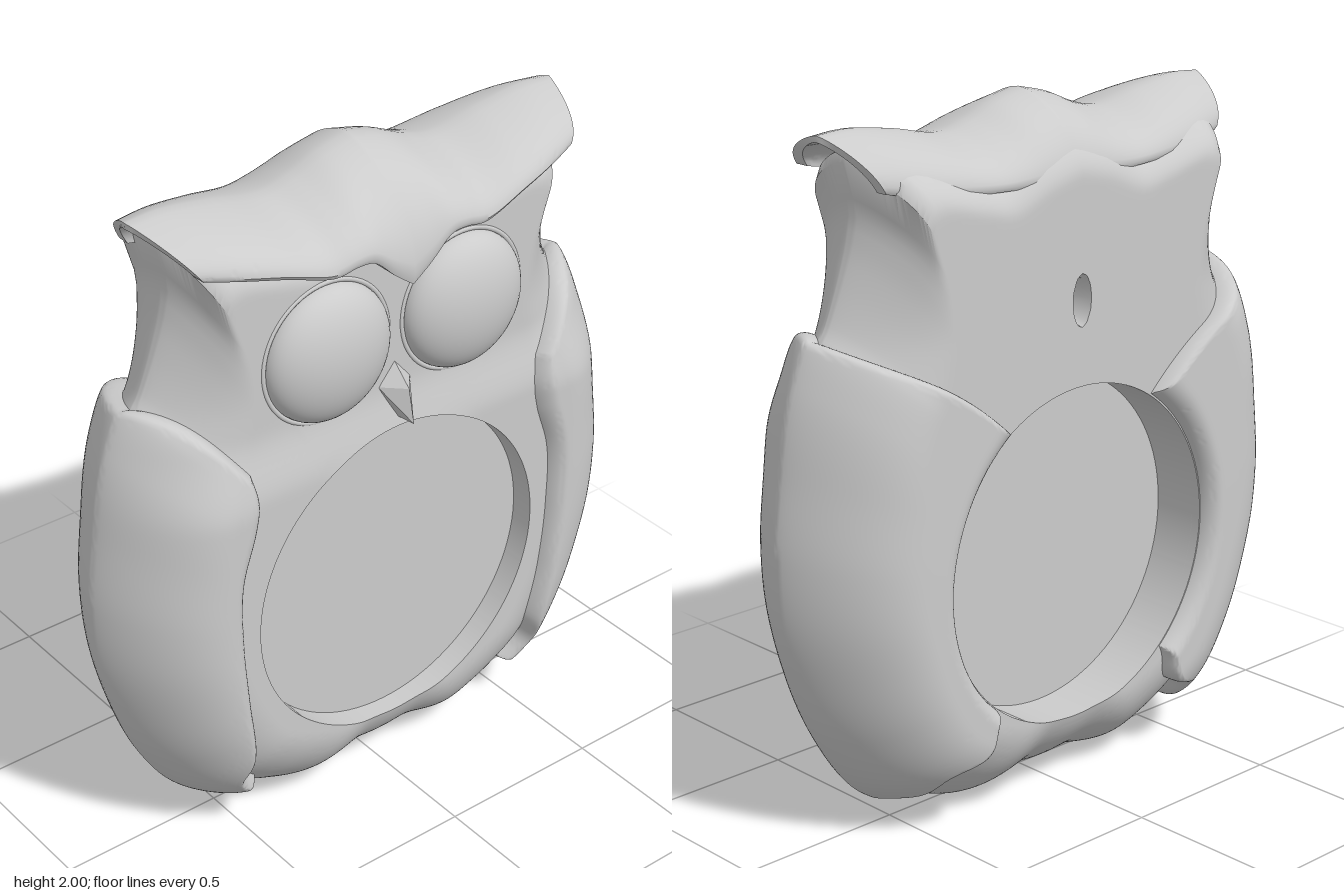
import * as THREE from 'three';
import { toCreasedNormals } from 'three/addons/utils/BufferGeometryUtils.js';
import { ConvexGeometry } from 'three/addons/geometries/ConvexGeometry.js';

const { lerp, smoothstep, clamp } = THREE.MathUtils;
const CY = 0.72, HOLE = 0.488; // centre height and radius of the round opening
const RAD = Math.PI / 180;
const material = new THREE.MeshStandardMaterial({ color: 0xcccccc });

// Smooth function through a few [x, y] points
function profile(points) {
  const pts = new THREE.CatmullRomCurve3(points.map(([x, y]) => new THREE.Vector3(x, y, 0)), false, 'centripetal').getPoints(240);
  return (x) => {
    let k = 1;
    while (k < pts.length - 1 && pts[k].x < x) k++;
    const a = pts[k - 1], b = pts[k];
    return lerp(a.y, b.y, clamp((x - a.x) / (b.x - a.x || 1), 0, 1));
  };
}

// Same, but radius by angle (degrees) around the opening
const polar = (points) => profile(points.map(([x, y]) => [Math.atan2(y - CY, x) / RAD, Math.hypot(x, y - CY)]));

// Surface from a grid of points; loops close along rows and/or columns
function grid(rows, cols, point, closeRows, closeCols, crease) {
  const pos = [], index = [];
  for (let i = 0; i < rows; i++) for (let j = 0; j < cols; j++) pos.push(...point(i, j));
  const at = (i, j) => (i % rows) * cols + (j % cols);
  for (let i = 0; i < (closeRows ? rows : rows - 1); i++) {
    for (let j = 0; j < (closeCols ? cols : cols - 1); j++) {
      const a = at(i, j), b = at(i, j + 1), c = at(i + 1, j + 1), d = at(i + 1, j);
      index.push(a, b, d, b, c, d);
    }
  }
  const g = new THREE.BufferGeometry();
  g.setAttribute('position', new THREE.Float32BufferAttribute(pos, 3));
  g.setIndex(index);
  return toCreasedNormals(g, crease);
}

// Half outline of the body, from bottom to top
const bodyRadius = polar([
  [0, 0.02], [0.12, 0.025], [0.28, 0.003], [0.4, 0.04], [0.5, 0.09], [0.6, 0.16], [0.71, 0.32],
  [0.785, 0.51], [0.825, 0.68], [0.835, 0.85], [0.815, 1.05], [0.77, 1.29], [0.725, 1.4], [0.69, 1.45],
  [0.64, 1.57], [0.605, 1.68], [0.593, 1.77], [0.605, 1.83], [0.62, 1.88], [0.58, 1.92], [0.4, 1.9], [0.28, 1.885], [0.12, 1.94], [0, 1.965],
]);

// Point on the body skin: s = 1 front rim of the opening, 0 outer edge, -1 back rim; h lifts it off the skin
function skin(theta, s, h = 0) {
  const R = bodyRadius(Math.asin(clamp(Math.sin(theta), -1, 1)) / RAD) + h;
  const r = R - (R - HOLE) * Math.abs(s) ** 1.7;
  const x = r * Math.cos(theta), y = CY + r * Math.sin(theta);
  // Rounding is tighter around the head
  const u = Math.min(1, (R - r) / lerp(0.28, 0.18, smoothstep(y, 1.4, 1.7)));
  const depth = s > 0 ? 0.237 - 0.035 * smoothstep(y, 1.14, 1.34) : 0.25;
  return [x, y, Math.sign(s) * (depth + h) * (1 - (1 - u) ** 2) ** 0.76];
}

function body() {
  const rows = 320, cols = 89;
  return grid(rows, cols, (i, j) => {
    const [x, y, z] = skin((i / rows) * Math.PI * 2, 1 - (2 * j) / (cols - 1));
    // Oval hanging slot in the back of the head: sink the middle, gather the rest onto its rim
    const e = Math.hypot(x / 0.035, (y - 1.45) / 0.075);
    if (z > -0.1 || e > 1.3) return [x, y, z];
    return e < 0.75 ? [x, y, -0.12] : [x / e, 1.45 + (y - 1.45) / e, z];
  }, true, true, 0.7);
}

// Front inner edge of the wing, radius by angle
const wingInner = profile([[-52, 0.72], [-43, 0.7], [-37, 0.63], [-19, 0.56], [2, 0.545], [22, 0.58], [36, 0.61], [43, 0.66], [47.5, 0.74]]);

// Wing: a raised rounded layer wrapped around the body's side
function wing(side) {
  const rows = 90, cols = 81;
  return grid(rows, cols, (i, j) => {
    let t = (1 - Math.cos((Math.PI * i) / (rows - 1))) / 2;
    if (side < 0) t = 1 - t;
    const v = Math.sin((Math.PI / 2) * (1 - (2 * j) / (cols - 1)));
    const back = Math.max(0, -v), front = Math.max(0, v);
    const low = -51 + 2.5 * Math.sin(back * 14) * back;
    const high = 44.5 + 12 * back ** 2 + 3 * Math.sin(front * 2.4);
    const deg = lerp(low, high, t);
    const R = bodyRadius(deg);
    const reach = clamp((R - wingInner(deg)) / (R - HOLE), 0, 1) ** (1 / 1.7);
    const edge = Math.min((1 - Math.abs(v)) * 0.4, Math.min(t, 1 - t) * (high - low) * RAD * 0.8);
    const round = Math.sqrt(1 - (1 - Math.min(1, edge / 0.03)) ** 2);
    const [x, y, z] = skin(deg * RAD, v > 0 ? v * reach : v, -0.03 + (0.073 + 0.007 * back) * round);
    return [x * side, y, z];
  }, false, false, 1.2);
}

// Brow: ridge, front edge and back slope, sweeping out to the ear tips
const ridgeY = profile([[0, 2], [0.1, 1.975], [0.2, 1.935], [0.29, 1.915], [0.45, 1.945], [0.6, 1.965], [0.705, 1.96]]);
const frontY = profile([[0, 1.665], [0.06, 1.71], [0.13, 1.77], [0.18, 1.775], [0.25, 1.765], [0.4, 1.805], [0.61, 1.845]]);

function brow() {
  const rows = 121, half = 33;
  return grid(rows, half * 2, (i, j) => {
    const k = clamp(1 - (2 * (i - 1)) / (rows - 3), -1, 1), t = Math.abs(k);
    const inner = j >= half;
    const q = 1 - (2 * (inner ? 2 * half - 1 - j : j)) / (half - 1), p = Math.abs(q);
    const x = Math.sign(k) * t * lerp(0.705, q > 0 ? 0.61 : 0.615, p);
    const top = ridgeY(t * 0.705);
    const bottom = q > 0 ? frontY(t * 0.61) : lerp(1.78, 1.82, t ** 3);
    const zEdge = q > 0 ? 0.285 * (1 - 0.3 * t ** 3) : -0.235 * (1 - 0.3 * t ** 3);
    let y = top + (bottom - top) * p ** lerp(1.5, 1.2, t);
    let z = zEdge * Math.sin((p * Math.PI) / 2) ** 0.95;
    // Underside reaches into the head, thinner at the ears and closed at both ends
    const thick = i === 0 || i === rows - 1 ? 0 : 1 - 0.5 * t ** 4;
    if (inner) {
      z *= 1 - 0.45 * thick;
      y -= 0.035 * thick * (1 - p);
    } else if (p === 1) z *= 0.97;
    return [x, y, z];
  }, false, true, 0.8);
}

export function createModel() {
  const model = new THREE.Group();
  const add = (name, geometry, x = 0, y = 0, z = 0) => {
    const mesh = new THREE.Mesh(geometry, material);
    mesh.name = name;
    mesh.position.set(x, y, z);
    model.add(mesh);
  };

  add('body', body());
  add('brow', brow());

  // Flat round panel set into the front of the opening
  add('panel', new THREE.CylinderGeometry(HOLE, HOLE, 0.25, 96).rotateX(Math.PI / 2), 0, CY, 0.04);

  for (const side of [1, -1]) {
    const label = side > 0 ? 'left' : 'right';
    add(label + 'Wing', wing(side));
    add(label + 'Eye', new THREE.SphereGeometry(0.2, 48, 32).scale(1, 1, 0.5), 0.23 * side, 1.51, 0.2);
    add(label + 'EyeRim', new THREE.TorusGeometry(0.206, 0.008, 10, 64), 0.23 * side, 1.51, 0.198);
  }

  // Beak with a central ridge
  const beak = [[0, 1.4, 0.2], [0.055, 1.335, 0.2], [-0.055, 1.335, 0.2], [0, 1.34, 0.265], [0, 1.24, 0.287], [0, 1.23, 0.2]];
  add('beak', new ConvexGeometry(beak.map((p) => new THREE.Vector3(...p))));

  return model;
}
